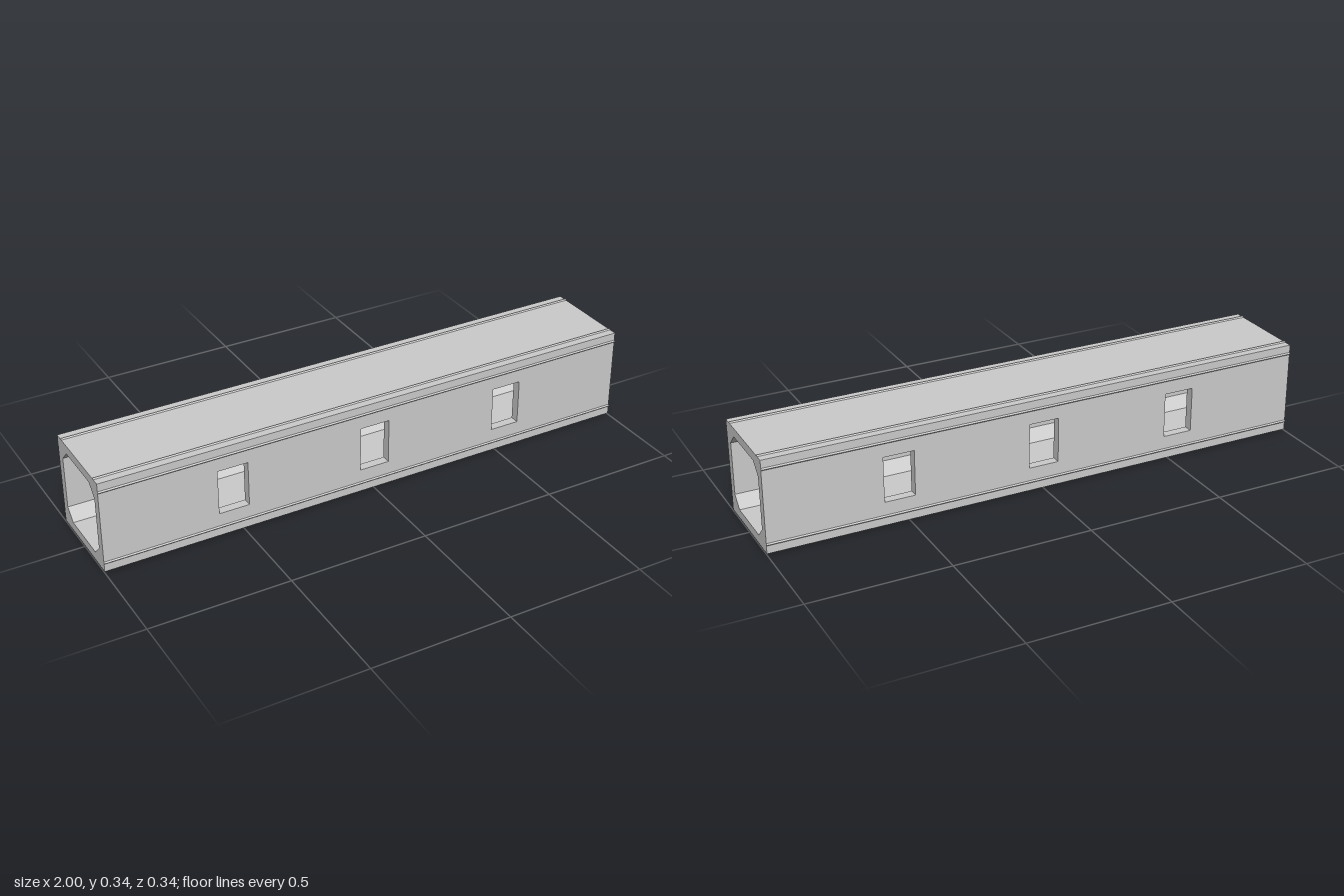
import * as THREE from 'three';

const L = 2, CY = 0.172;           // length, height of the axis
const OUT = 0.1675, INN = 0.1345;  // half widths outside and inside
const CH = 0.095;                  // where the inner chamfers begin
const WIN = { w: 0.11, h: 0.164, xs: [-0.534, 0, 0.534] };
const RIDGE = 0.0045;

const mat = new THREE.MeshStandardMaterial({ color: 0xcccccc, flatShading: true, side: THREE.DoubleSide });

function add(parent, name, geometry) {
  const mesh = new THREE.Mesh(geometry, mat);
  mesh.name = name;
  parent.add(mesh);
  return mesh;
}

function rect(ShapeType, cx, w, h) {
  const points = [[-1, -1], [1, -1], [1, 1], [-1, 1]];
  return new ShapeType(points.map(([x, y]) => new THREE.Vector2(cx + x * w / 2, y * h / 2)));
}

// Full-length strip between two cross-section points [z, y], facing X cross (b - a)
function strip(parent, name, a, b, windows) {
  const dir = new THREE.Vector3(0, b[1] - a[1], b[0] - a[0]);
  const shape = rect(THREE.Shape, 0, L, dir.length());
  if (windows) WIN.xs.forEach((x) => shape.holes.push(rect(THREE.Path, x, WIN.w, WIN.h)));
  dir.normalize();
  const xAxis = new THREE.Vector3(1, 0, 0);
  const m = new THREE.Matrix4().makeBasis(xAxis, dir, xAxis.clone().cross(dir));
  m.setPosition(0, (a[1] + b[1]) / 2, (a[0] + b[0]) / 2);
  add(parent, name, new THREE.ShapeGeometry(shape).applyMatrix4(m));
}

export function createModel() {
  const group = new THREE.Group();
  group.name = 'boxBeam';
  const beam = new THREE.Group();
  beam.position.y = CY;
  group.add(beam);

  // Square outside and chamfered inside of the tube
  const outer = [[OUT, -OUT], [OUT, OUT], [-OUT, OUT], [-OUT, -OUT]];
  const inner = [[INN, CH], [INN, -CH], [CH, -INN], [-CH, -INN],
    [-INN, -CH], [-INN, CH], [-CH, INN], [CH, INN]];
  for (const [name, loop] of [['outerWall', outer], ['innerWall', inner]]) {
    loop.forEach((a, i) => {
      const b = loop[(i + 1) % loop.length];
      strip(beam, name, a, b, a[0] === b[0]);
    });
  }

  // End rims
  const toVec = ([z, y]) => new THREE.Vector2(z, y);
  const rim = new THREE.Shape(outer.map(toVec));
  rim.holes.push(new THREE.Path(inner.map(toVec)));
  for (const s of [-1, 1]) {
    const end = add(beam, 'endRim', new THREE.ShapeGeometry(rim));
    end.rotation.y = s * Math.PI / 2;
    end.position.x = s * L / 2;
  }

  // Window reveals through both side walls
  const depth = OUT - INN;
  for (const side of [-1, 1]) for (const x of WIN.xs) {
    const reveal = new THREE.Group();
    reveal.name = 'windowReveal';
    reveal.position.set(x, 0, side * (OUT + INN) / 2);
    beam.add(reveal);
    for (const s of [-1, 1]) {
      const jamb = add(reveal, 'jamb', new THREE.PlaneGeometry(depth, WIN.h));
      jamb.rotation.y = -s * Math.PI / 2;
      jamb.position.x = s * WIN.w / 2;
      const sill = add(reveal, 'sill', new THREE.PlaneGeometry(WIN.w, depth));
      sill.rotation.x = s * Math.PI / 2;
      sill.position.y = s * WIN.h / 2;
    }
  }

  // Slim diamond-section ridges, two along each outer face
  const ridge = new THREE.CylinderGeometry(RIDGE, RIDGE, L, 4).rotateZ(Math.PI / 2);
  for (const s of [-1, 1]) for (const t of [-1, 1]) {
    add(beam, 'ridge', ridge).position.set(0, s * OUT, t * INN);
    add(beam, 'ridge', ridge).position.set(0, t * INN, s * OUT);
  }
  return group;
}
